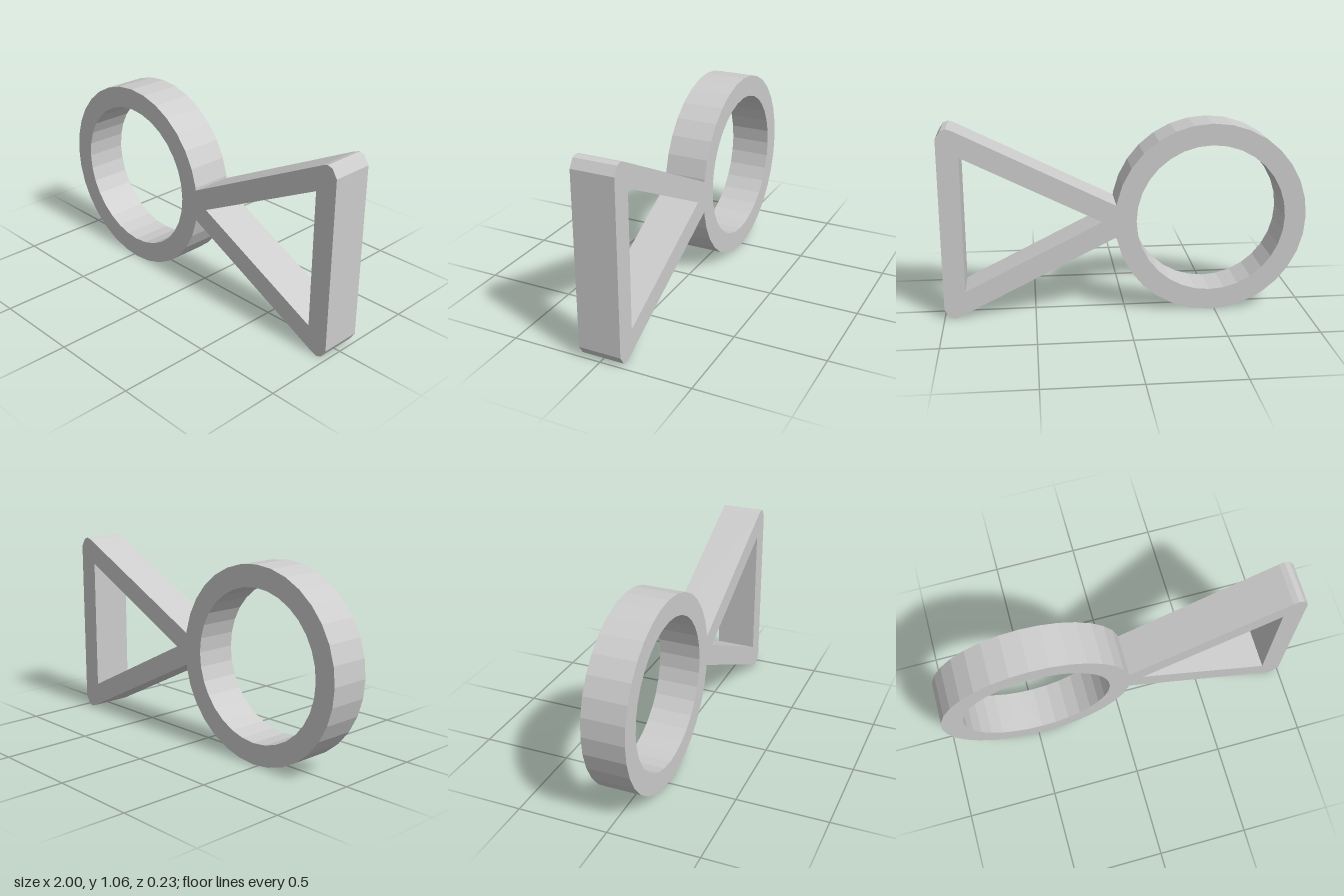
import * as THREE from 'three';

const MID = 0.53; // height of the horizontal symmetry axis
const DEPTH = 0.234;
const SIDES = 32;

// Points of a 32-sided ring, from step a to step b
function ringPoints(radius, a, b) {
  const pts = [];
  for (let k = a; k <= b; k++) {
    const t = (k / SIDES) * Math.PI * 2;
    pts.push(new THREE.Vector2(-0.47 + radius * Math.cos(t), MID + radius * Math.sin(t)));
  }
  return pts;
}

export function createModel() {
  const group = new THREE.Group();
  const grey = new THREE.MeshStandardMaterial({ color: 0xcccccc });
  grey.name = 'light grey';

  // Upper edge of the triangular handle: ring junction to bevelled corner (y from the axis)
  const upper = [[0.051, 0.089], [0.914, 0.5205], [0.943, 0.53], [0.971, 0.521], [1, 0.475]];
  const top = upper.map(([x, y]) => new THREE.Vector2(x, MID + y));
  const bottom = upper.map(([x, y]) => new THREE.Vector2(x, MID - y));

  // Joined outline of ring and handle
  const outline = new THREE.Shape([
    ...ringPoints(0.53, 1, SIDES - 1),
    ...bottom,
    ...top.reverse(),
  ]);

  // Round and triangular openings
  outline.holes.push(new THREE.Path(ringPoints(0.412, 0, SIDES - 1).reverse()));
  outline.holes.push(new THREE.Path([
    new THREE.Vector2(0.13, MID),
    new THREE.Vector2(0.882, MID + 0.376),
    new THREE.Vector2(0.882, MID - 0.376),
  ]));

  // Flat-sided extrusion, centred in depth
  const geometry = new THREE.ExtrudeGeometry(outline, { depth: DEPTH, bevelEnabled: false });
  geometry.translate(0, 0, -DEPTH / 2);
  const body = new THREE.Mesh(geometry, grey);
  body.name = 'ringWithTriangularHandle';
  group.add(body);
  return group;
}
